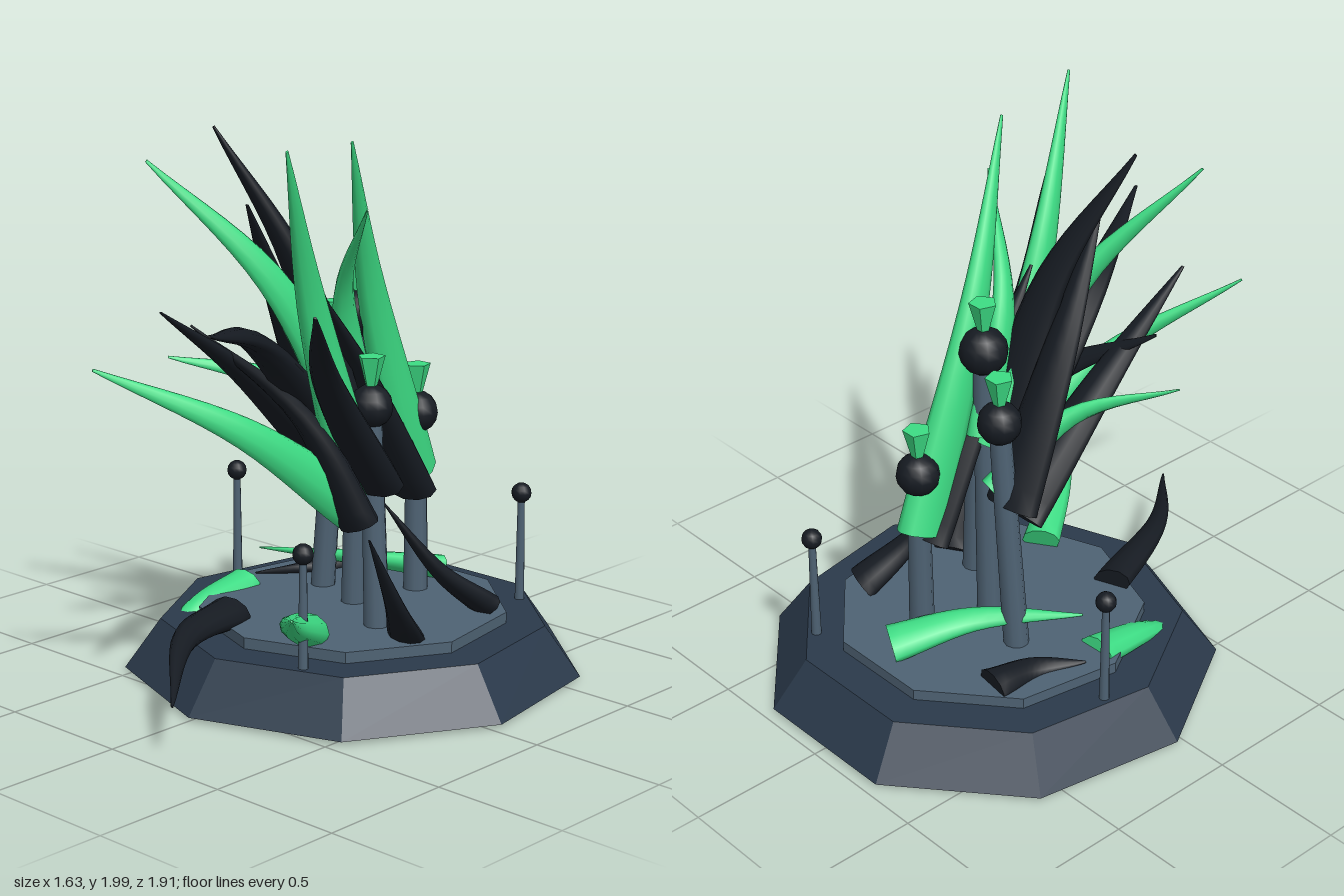
import * as THREE from 'three';

const paint = (color, flatShading = false) => {
  const m = new THREE.MeshStandardMaterial({ flatShading });
  m.color.set(color);
  return m;
};
const black = paint(0x161b22);
const green = paint(0x3ddc84);
const greenFlat = paint(0x3ddc84, true);
const navy = paint(0x2b3a4b, true);
const slate = paint(0x4e6273, true);
const steel = paint(0x4e6273);

function add(parent, name, geometry, material, x = 0, y = 0, z = 0) {
  const mesh = new THREE.Mesh(geometry, material);
  mesh.name = name;
  mesh.position.set(x, y, z);
  parent.add(mesh);
  return mesh;
}

// Curved plume: oval sections swept from root to tip, tapering to a point.
// drift and lift are the shares of the sideways and upward travel reached halfway.
function plumeGeometry(root, tip, drift, lift, height, breadth) {
  const mid = root.clone().lerp(tip, 0.5);
  mid.x = THREE.MathUtils.lerp(root.x, tip.x, drift);
  mid.y = THREE.MathUtils.lerp(root.y, tip.y, lift);
  const curve = new THREE.CatmullRomCurve3([root, mid, tip]);
  const rings = 14, sides = 10, pos = [], index = [];
  for (let i = 0; i <= rings; i++) {
    const t = i / rings;
    const p = curve.getPoint(t), tangent = curve.getTangent(t);
    const across = new THREE.Vector3().crossVectors(tangent, new THREE.Vector3(0, 1, -1)).normalize();
    const up = new THREE.Vector3().crossVectors(across, tangent);
    const k = (1 - Math.pow(t, 1.25)) * 0.94 + 0.06;
    for (let j = 0; j < sides; j++) {
      const u = j / sides * Math.PI * 2;
      const q = p.clone().addScaledVector(up, Math.cos(u) * height * k)
        .addScaledVector(across, Math.sin(u) * breadth * k);
      pos.push(q.x, q.y, q.z);
      if (i < rings) {
        const n = i * sides + j, m = i * sides + (j + 1) % sides;
        index.push(n, m, n + sides, m, m + sides, n + sides);
      }
    }
  }
  // End caps on their own vertices, so the rims stay sharp
  for (const ring of [0, rings]) {
    const start = pos.length / 3;
    for (let j = 0; j < sides * 3; j++) pos.push(pos[ring * sides * 3 + j]);
    for (let j = 1; j < sides - 1; j++) {
      const a = start + j, b = start + j + 1;
      index.push(start, ...(ring ? [a, b] : [b, a]));
    }
  }
  const g = new THREE.BufferGeometry();
  g.setAttribute('position', new THREE.Float32BufferAttribute(pos, 3));
  g.setIndex(index);
  g.computeVertexNormals();
  return g;
}

// Tapered cylinder between two points
function rod(parent, name, from, to, r0, r1) {
  const d = to.clone().sub(from);
  const m = add(parent, name, new THREE.CylinderGeometry(r1, r0, d.length(), 10), steel);
  m.position.copy(from).lerp(to, 0.5);
  m.quaternion.setFromUnitVectors(new THREE.Vector3(0, 1, 0), d.normalize());
}

const vec = (x, y, z) => new THREE.Vector3(x, y, z);

// Stem with head, flared crown and a cluster of plumes rooted below the head
function stemFigure(parent, foot, head, radius, plumes) {
  const stem = new THREE.Group();
  stem.name = 'stemFigure';
  parent.add(stem);
  rod(stem, 'stem', foot, head, 0.046, 0.038);
  add(stem, 'head', new THREE.SphereGeometry(radius, 12, 8), black, ...head);
  add(stem, 'crown', new THREE.CylinderGeometry(0.05, 0.02, 0.11, 5), greenFlat,
    head.x, head.y + radius + 0.045, head.z);
  // Each further plume starts a little lower and further forward.
  // Green plumes stand on edge nearer the middle, black ones lie flat and wide.
  plumes.forEach(([material, x, y, z, lift = 0.57], i) => {
    const onEdge = material === green;
    const root = vec(head.x * (onEdge ? 0.8 : 1.15), head.y * 0.74 - i * 0.045, head.z + i * 0.03);
    const tip = vec(x, y, z);
    const length = root.distanceTo(tip);
    const height = onEdge ? 0.04 + 0.045 * length : 0.03 + 0.03 * length;
    const breadth = onEdge ? height * 0.6 : 0.04 + 0.065 * length;
    add(stem, 'plume', plumeGeometry(root, tip, 0.25, lift, height, breadth), material);
  });
}

export function createModel() {
  const model = new THREE.Group();
  model.name = 'plumeSculpture';

  // Nine-sided plinth with a raised floor
  const cz = -0.18;
  add(model, 'plinth', new THREE.CylinderGeometry(0.7, 0.83, 0.18, 9), navy, 0, 0.105, cz);
  add(model, 'floor', new THREE.CylinderGeometry(0.56, 0.56, 0.04, 9), slate, 0, 0.215, cz);

  // Three thin posts with ball finials, evenly spaced around the rim
  for (let i = 0; i < 3; i++) {
    const a = THREE.MathUtils.degToRad(27 + i * 120);
    const x = Math.sin(a) * 0.63, z = cz + Math.cos(a) * 0.63;
    rod(model, 'rimPost', vec(x, 0.195, z), vec(x, 0.59, z), 0.018, 0.013);
    add(model, 'rimBall', new THREE.SphereGeometry(0.037, 12, 8), black, x, 0.6, z);
  }

  // Centre, rear, right and left stems; each plume is given by its tip
  stemFigure(model, vec(0, 0.22, -0.18), vec(0.01, 1.3, -0.19), 0.087, [
    [green, 0.36, 1.75, 0.15],
    [green, -0.33, 1.88, 0.5],
    [black, -0.25, 1.98, 0.26],
    [black, 0.36, 1.44, 0.88, 0.75],
  ]);
  stemFigure(model, vec(0.06, 0.22, -0.45), vec(0.05, 0.9, -0.46), 0.078, [
    [green, 0.3, 1.97, 0.16],
    [black, 0.15, 1.45, 0.16],
  ]);
  stemFigure(model, vec(-0.22, 0.22, -0.25), vec(-0.17, 1.13, -0.28), 0.078, [
    [green, -0.45, 1.15, 0.3, 0.7],
    [black, -0.08, 1.73, 0.27],
    [black, -0.15, 1.4, 0.61],
  ]);
  stemFigure(model, vec(0.24, 0.22, -0.04), vec(0.2, 1.02, -0.05), 0.078, [
    [black, 0.57, 1.49, 0.62],
    [green, 0.39, 1.99, 0.56],
    [green, -0.17, 1.25, 0.9],
    [black, -0.3, 1.29, 0.33],
  ]);

  // Plumes lying on the plinth: root, tip, drift, lift, half height
  const fallen = [
    [green, vec(0.16, 0.26, 0.22), vec(0.56, 0.51, 0.72), 0.4, 0.45, 0.06],
    [black, vec(-0.2, 0.25, 0.24), vec(0.24, 0.2, 0.95), 0.3, -0.4, 0.05],
    [black, vec(0.385, 0.22, -0.04), vec(0.54, 0.69, 0.33), 0.75, 0.36, 0.045],
    [black, vec(0.41, 0.25, -0.44), vec(0.22, 0.66, -0.1), 0.4, 0.36, 0.045],
    [black, vec(-0.36, 0.24, -0.49), vec(-0.48, 0.24, -0.16), 0.2, 0.5, 0.045],
    [green, vec(0.03, 0.27, -0.62), vec(-0.4, 0.37, -0.1), 0.35, 0.6, 0.045],
    [green, vec(-0.45, 0.23, -0.08), vec(-0.39, 0.005, 0.48), 0.1, 0.2, 0.05],
  ];
  for (const [material, root, tip, drift, lift, height] of fallen) {
    add(model, 'fallenPlume', plumeGeometry(root, tip, drift, lift, height, 0.075), material);
  }
  return model;
}
